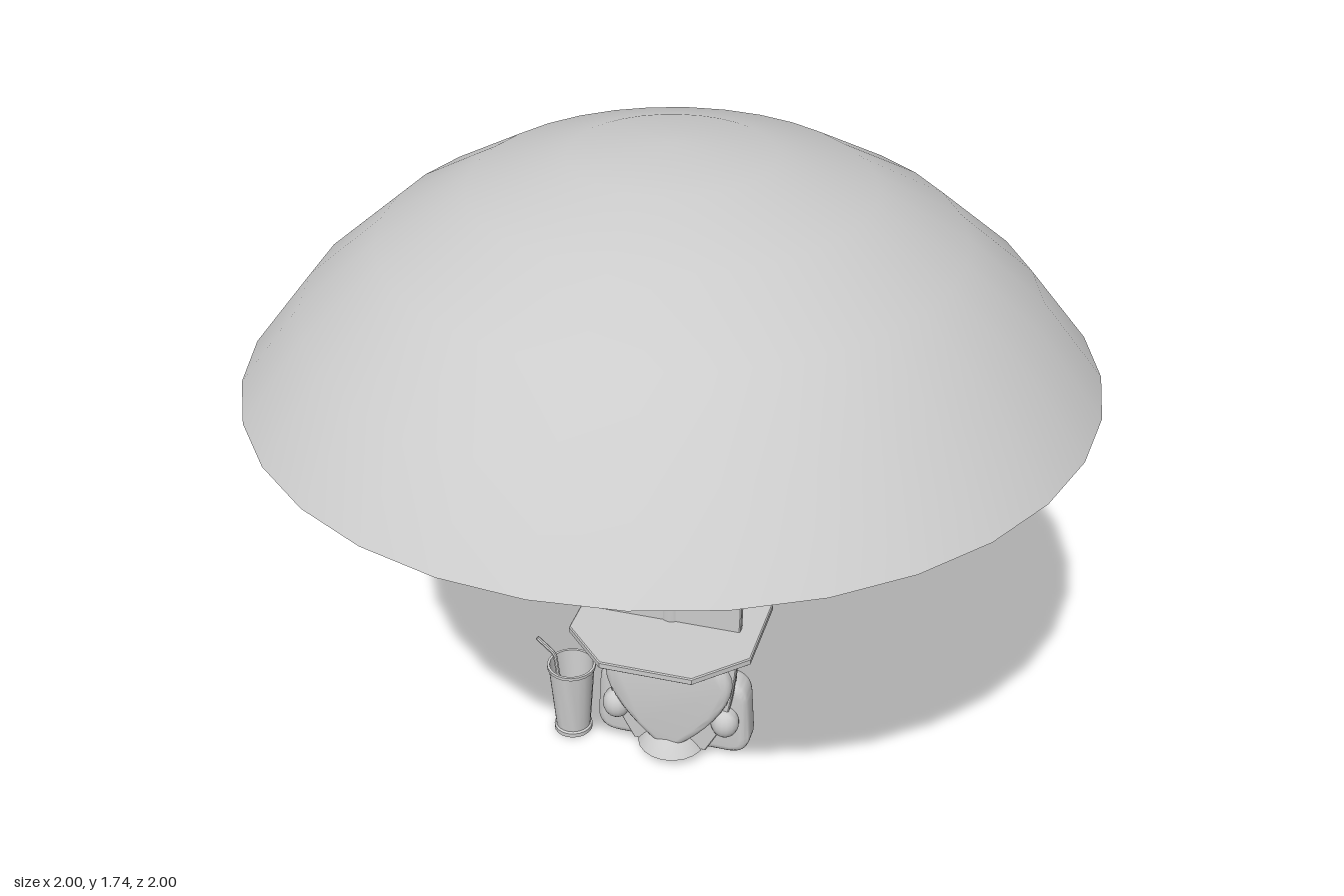
import * as THREE from 'three';
import { toCreasedNormals } from 'three/addons/utils/BufferGeometryUtils.js';

const mat = new THREE.MeshStandardMaterial({ color: 0xcccccc, side: THREE.DoubleSide });
const V = (x, y, z = 0) => new THREE.Vector3(x, y, z);

export function createModel() {
  const model = new THREE.Group();
  const add = (name, geo, x = 0, y = 0, z = 0, crease = 0.6) => {
    const mesh = new THREE.Mesh(toCreasedNormals(geo, crease), mat);
    mesh.name = name;
    mesh.position.set(x, y, z);
    model.add(mesh);
    return mesh;
  };
  const lathe = (pts, sides) =>
    new THREE.LatheGeometry(pts.map(([x, y]) => new THREE.Vector2(x, y)), sides);
  // extruded plate spanning z0..z1, bevel kept inside the outline
  const plate = (shape, z0, z1, bevel, steps = 3) => {
    const geo = new THREE.ExtrudeGeometry(shape, {
      depth: z1 - z0 - 2 * bevel, bevelEnabled: bevel > 0, bevelSize: bevel,
      bevelThickness: bevel, bevelOffset: -bevel, bevelSegments: steps, curveSegments: 10,
    });
    return geo.translate(0, 0, z0 + bevel);
  };

  // Canopy: thin spherical cap with an inner skin
  const cap = (R, top, rim) => Array.from({ length: 6 }, (_, i) => {
    const a = Math.asin(rim / R) * i / 5;
    return [R * Math.sin(a), top - R * (1 - Math.cos(a))];
  });
  add('canopy', lathe([...cap(1.196, 1.717, 0.985), ...cap(1.196, 1.739, 1).reverse()], 32));

  // Pole and its foot
  add('pole', new THREE.CylinderGeometry(0.03, 0.03, 1.7, 16), 0, 0.86, 0);
  add('foot', lathe([[0, 0], [0.05, 0], [0.055, 0.025], [0.092, 0.03], [0.075, 0.052],
    [0.05, 0.075], [0, 0.083]], 20));

  // Table: square top with cut corners
  const top = new THREE.Shape();
  const h = 0.24, c = 0.12;
  [[h, -c], [h, c], [c, h], [-c, h], [-h, c], [-h, -c], [-c, -h], [c, -h]]
    .forEach(([x, y], i) => (i ? top.lineTo(x, y) : top.moveTo(x, y)));
  top.closePath();
  add('tableTop', plate(top, 0.425, 0.445, 0.003, 1).rotateX(-Math.PI / 2), 0, 0, 0);

  // Surfboard standing against the pole
  const half = [[0.1, 0.03], [0.155, 0.15], [0.18, 0.32], [0.19, 0.55], [0.18, 0.8],
    [0.14, 1.0], [0.09, 1.1], [0.035, 1.16]];
  const edge = [...half, [0, 1.172], ...half.slice().reverse().map(([x, y]) => [-x, y])];
  const board = new THREE.Shape();
  board.moveTo(...edge[0]);
  board.splineThru(edge.slice(1).map(([x, y]) => new THREE.Vector2(x, y)));
  add('surfboard', plate(board, 0, 0.024, 0.003, 1));

  // Heart cushion
  const heart = new THREE.Shape();
  heart.moveTo(0, 0.03);
  heart.bezierCurveTo(0.06, 0.06, 0.17, 0.18, 0.172, 0.265);
  heart.bezierCurveTo(0.172, 0.36, 0.04, 0.385, 0, 0.295);
  heart.bezierCurveTo(-0.04, 0.385, -0.172, 0.36, -0.172, 0.265);
  heart.bezierCurveTo(-0.17, 0.18, -0.06, 0.06, 0, 0.03);
  add('heartCushion', plate(heart, -0.042, 0.055, 0.02), 0, 0, 0, 0.9);

  // Bag behind the cushion, slightly wider at the base
  const bag = new THREE.Shape();
  bag.moveTo(-0.15, 0.015);
  bag.lineTo(0.15, 0.015);
  bag.quadraticCurveTo(0.212, 0.015, 0.212, 0.075);
  bag.lineTo(0.205, 0.19);
  bag.quadraticCurveTo(0.2, 0.245, 0.15, 0.25);
  bag.lineTo(-0.15, 0.25);
  bag.quadraticCurveTo(-0.2, 0.245, -0.205, 0.19);
  bag.lineTo(-0.212, 0.075);
  bag.quadraticCurveTo(-0.212, 0.015, -0.15, 0.015);
  add('bag', plate(bag, -0.083, 0.002, 0.022), 0, 0, 0, 0.9);
  add('bagTab', new THREE.SphereGeometry(0.013, 10, 8).scale(0.8, 1.6, 0.8), 0.005, 0.165, -0.081);

  // Round side pads
  for (const s of [-1, 1]) {
    add(s > 0 ? 'leftPad' : 'rightPad',
      new THREE.SphereGeometry(0.045, 16, 12).scale(0.85, 1, 0.8), s * 0.15, 0.135, 0.015);
  }

  // Thin leaning rod behind the pole
  add('rod', new THREE.TubeGeometry(new THREE.LineCurve3(V(0.03, 0.6, -0.037), V(-0.14, 0.27, -0.037)),
    1, 0.005, 6));

  // Drinking cup with bent straw
  add('cup', lathe([[0, 0], [0.052, 0], [0.052, 0.012], [0.047, 0.016], [0.062, 0.205],
    [0.066, 0.207], [0.066, 0.216], [0.059, 0.216], [0.044, 0.02], [0, 0.02]], 20), -0.285, 0, -0.01);
  const straw = new THREE.CurvePath();
  const bend = [V(-0.31, 0.025, -0.01), V(-0.331, 0.235, -0.01), V(-0.38, 0.283, -0.01)];
  straw.add(new THREE.LineCurve3(bend[0], V(-0.33, 0.225, -0.01)));
  straw.add(new THREE.QuadraticBezierCurve3(V(-0.33, 0.225, -0.01), V(-0.331, 0.238, -0.01), V(-0.34, 0.246, -0.01)));
  straw.add(new THREE.LineCurve3(V(-0.34, 0.246, -0.01), bend[2]));
  add('straw', new THREE.TubeGeometry(straw, 24, 0.006, 8));

  return model;
}
